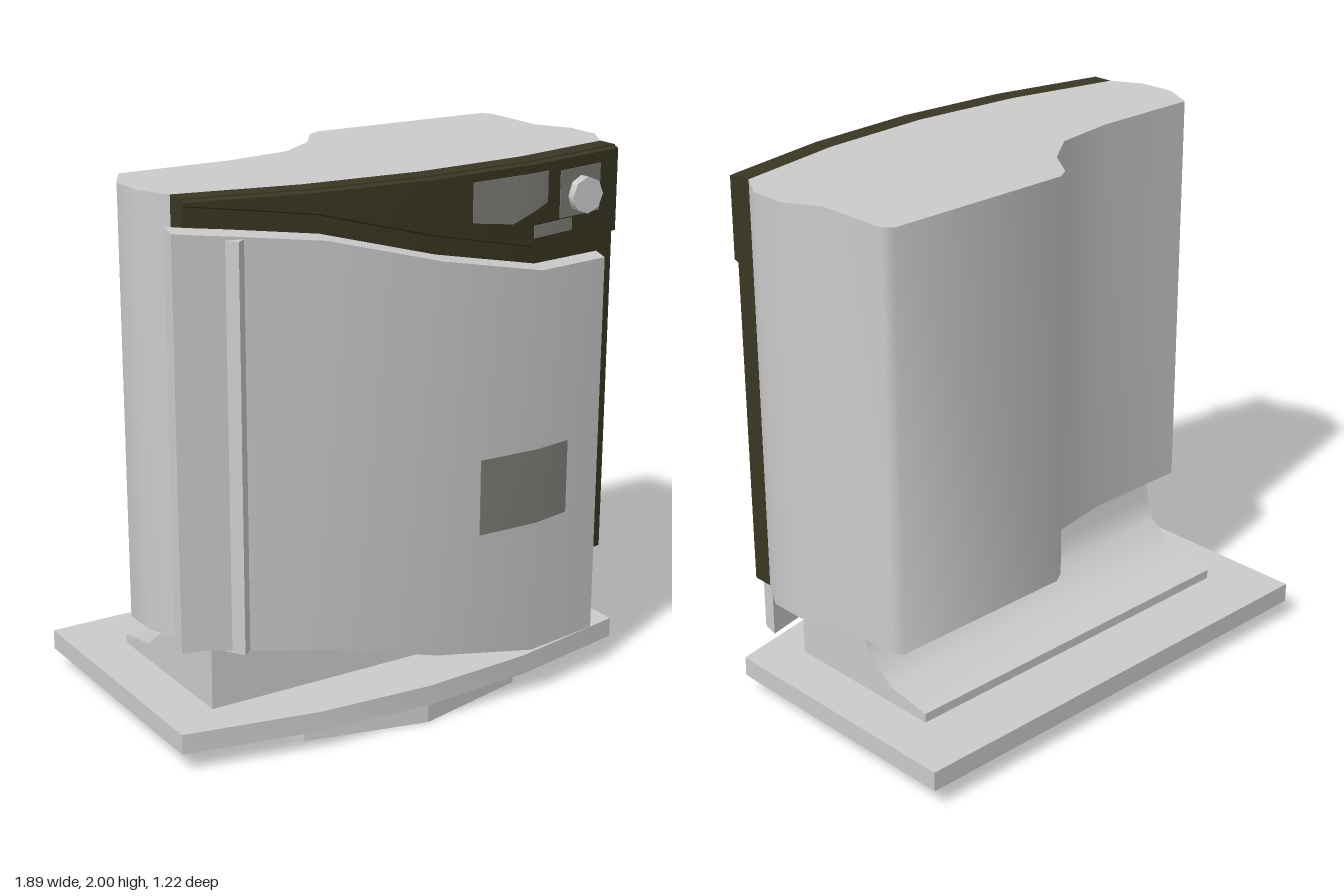
import * as THREE from 'three';
import { toCreasedNormals } from 'three/addons/utils/BufferGeometryUtils.js';

const grey = new THREE.MeshStandardMaterial({ color: 0xcccccc });
const dark = new THREE.MeshStandardMaterial({ color: 0x3a3622 });
const glass = new THREE.MeshStandardMaterial({ color: 0x80807a });

// Shared bowed front line: z as a function of x
function bow(x) {
  const a = Math.abs(x);
  return a < 0.44 ? 0.46 - (a / 0.44) * 0.03 : 0.43 - ((a - 0.44) / 0.44) * 0.09;
}

// Bowed plate from columns [x, yBottom, yTop], between two offsets from the bow;
// inset pulls the front edges in to slope the top and bottom rims
function bowedPlate(columns, back, front, inset = 0) {
  const pos = [], idx = [];
  columns.forEach(([x, y0, y1], i) => {
    const zb = bow(x) + back, zf = bow(x) + front;
    pos.push(x, y0, zb, x, y0 + inset, zf, x, y1 - inset, zf, x, y1, zb);
    if (i === 0) return;
    for (let k = 0; k < 4; k++) {
      const n = (k + 1) % 4, p = (i - 1) * 4, q = i * 4;
      idx.push(p + k, q + k, q + n, p + k, q + n, p + n);
    }
  });
  const e = (columns.length - 1) * 4;
  idx.push(0, 1, 2, 0, 2, 3, e, e + 3, e + 2, e, e + 2, e + 1);
  const geo = new THREE.BufferGeometry();
  geo.setAttribute('position', new THREE.Float32BufferAttribute(pos, 3));
  geo.setIndex(idx);
  return toCreasedNormals(geo, 0.6);
}

// Upright prism from an outline of [x, z] points
function prism(outline, y0, y1) {
  const shape = new THREE.Shape(outline.map(([x, z]) => new THREE.Vector2(x, -z)));
  const geo = new THREE.ExtrudeGeometry(shape, { depth: y1 - y0, bevelEnabled: false });
  geo.rotateX(-Math.PI / 2).translate(0, y0, 0);
  return toCreasedNormals(geo, 0.8);
}

export function createModel() {
  const group = new THREE.Group();
  const add = (name, geometry, material = grey) => {
    const mesh = new THREE.Mesh(geometry, material);
    mesh.name = name;
    group.add(mesh);
    return mesh;
  };

  // Octagonal foot and bowed base plate
  const foot = add('foot', toCreasedNormals(new THREE.CylinderGeometry(1, 1, 0.07, 8), 0.3));
  foot.scale.set(0.65, 1, 0.37);
  foot.position.set(0, 0.035, 0.185);
  add('basePlate', prism([
    [-0.935, -0.61], [0.935, -0.61], [0.935, 0.43], [0.44, 0.53],
    [0, 0.56], [-0.44, 0.53], [-0.935, 0.43],
  ], 0.07, 0.145));

  // Pedestal with a curved rear skirt, extruded sideways from [z, y] points
  const profile = [
    [0.31, 0.145], [0.31, 0.47], [-0.02, 0.47], [-0.035, 0.38], [-0.06, 0.3],
    [-0.18, 0.21], [-0.36, 0.18], [-0.36, 0.145],
  ];
  const side = new THREE.Shape(profile.map(([z, y]) => new THREE.Vector2(-z, y)));
  const pedestal = new THREE.ExtrudeGeometry(side, { depth: 1.5, bevelEnabled: false });
  pedestal.rotateY(Math.PI / 2).translate(-0.75, 0, 0);
  add('pedestal', toCreasedNormals(pedestal, 0.7));

  // Main housing with the deep rear bulge on one side
  add('body', prism([
    [-0.88, 0.34], [-0.94, 0.22], [-0.94, 0.08], [-0.87, -0.05], [-0.44, -0.05],
    [-0.19, -0.09], [-0.04, -0.2], [0.05, -0.33], [0.1, -0.36], [0.84, -0.36],
    [0.87, -0.33], [0.87, -0.05], [0.94, 0.08], [0.94, 0.22], [0.87, 0.34],
    [0.44, 0.43], [0, 0.46], [-0.44, 0.43],
  ], 0.46, 2));

  // Dark front frame and the raised control fascia above the door
  const frameX = [-0.88, -0.44, 0, 0.44, 0.87];
  const fasciaBottom = [1.97, 1.91, 1.79, 1.69, 1.68];
  add('frontFrame', bowedPlate(frameX.map((x) => [x, 0.46, 2]), -0.001, 0.08), dark);
  add('controlFascia', bowedPlate(frameX.map((x, i) => [x, fasciaBottom[i], 2]), 0.07, 0.1, 0.01), dark);

  // Sweeping door with its grip ridge and window
  add('door', bowedPlate([
    [-0.95, 0.455, 1.92], [-0.88, 0.455, 1.91], [-0.75, 0.435, 1.895], [-0.44, 0.385, 1.855],
    [0, 0.27, 1.735], [0.44, 0.175, 1.64], [0.77, 0.165, 1.63],
  ], 0.1, 0.15, 0.014), grey);
  add('doorGrip', prism([[-0.79, 0.49], [-0.75, 0.553], [-0.71, 0.52]], 0.445, 1.87));
  add('doorWindow', bowedPlate([
    [0.18, 0.7, 0.98], [0.44, 0.69, 0.97], [0.6, 0.69, 0.967],
  ], 0.145, 0.153), glass);

  // Display, knob surround, label strip and octagonal knob
  add('display', bowedPlate([
    [0.16, 1.82, 1.96], [0.34, 1.793, 1.96], [0.44, 1.828, 1.96], [0.5, 1.85, 1.96],
  ], 0.095, 0.103), glass);
  add('knobSurround', bowedPlate([[0.565, 1.78, 1.95], [0.775, 1.78, 1.95]], 0.095, 0.103), glass);
  add('labelStrip', bowedPlate([[0.435, 1.73, 1.775], [0.44, 1.73, 1.775], [0.63, 1.73, 1.775]], 0.095, 0.103), glass);
  const knob = add('knob', toCreasedNormals(new THREE.CylinderGeometry(0.066, 0.066, 0.1, 8), 0.8));
  knob.rotation.x = Math.PI / 2;
  knob.position.set(0.672, 1.855, 0.478);

  return group;
}
